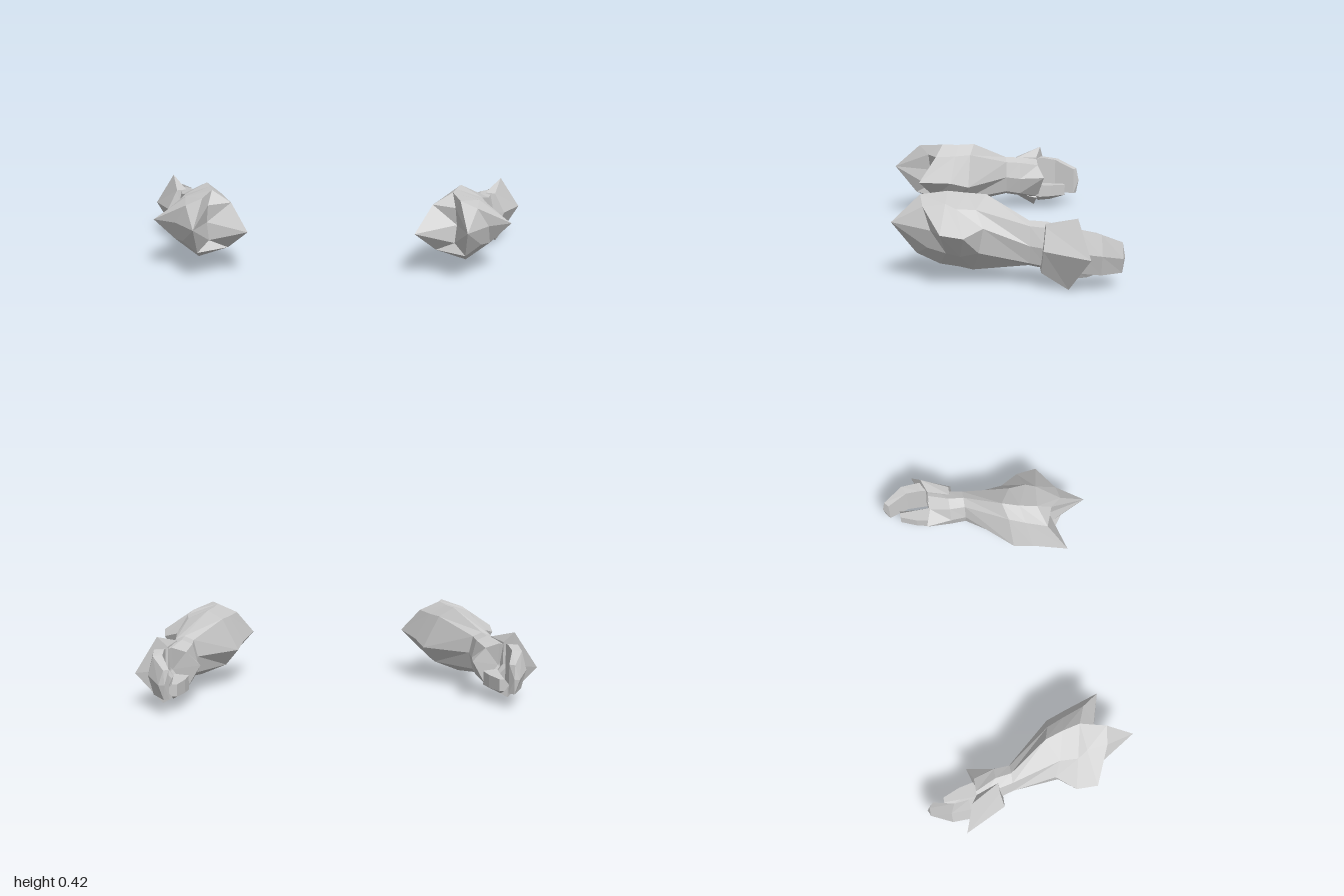
import * as THREE from 'three';

// Loft through rings of [x, y, z] points, ordered inner, top, outer, bottom and
// running from front to back. Ends close onto the given tips or the ring centre.
function loft(name, rings, side, frontTip, backTip) {
  const pos = [];
  const tri = (a, b, c) => {
    for (const p of side > 0 ? [a, b, c] : [a, c, b]) pos.push(p[0] * side, p[1], p[2]);
  };
  const centre = (r) => [0, 1, 2].map((k) => r.reduce((s, p) => s + p[k], 0) / r.length);
  const n = rings[0].length;
  const first = rings[0], last = rings[rings.length - 1];
  const front = frontTip || centre(first), back = backTip || centre(last);
  for (let j = 0; j < n; j++) {
    const k = (j + 1) % n;
    tri(front, first[k], first[j]);
    tri(back, last[j], last[k]);
    for (let i = 0; i < rings.length - 1; i++) {
      const a = rings[i], b = rings[i + 1];
      tri(a[j], a[k], b[k]);
      tri(a[j], b[k], b[j]);
    }
  }
  const geo = new THREE.BufferGeometry();
  geo.setAttribute('position', new THREE.Float32BufferAttribute(pos, 3));
  geo.computeVertexNormals();
  const mat = new THREE.MeshStandardMaterial({ color: 0xcccccc, flatShading: true });
  const mesh = new THREE.Mesh(geo, mat);
  mesh.name = name;
  return mesh;
}

// Eight-sided ring fitted between x0..x1 and y0..y1 at one depth
function ring(x0, x1, y0, y1, z) {
  const x = (t) => x0 + (x1 - x0) * t, y = (t) => y0 + (y1 - y0) * t;
  return [[0, 0.5], [0.15, 0.9], [0.5, 1], [0.85, 0.92], [1, 0.5], [0.85, 0.1], [0.5, 0], [0.15, 0.1]]
    .map(([u, v]) => [x(u), y(v), z]);
}

// Five-sided finger ring with a ridge along its outer side; lift raises the inner lower edge
const finger = (x0, x1, y0, y1, z0, z1 = z0, lift = 0) => [
  [x0, y0 + lift, z0], [x0, y1, z0], [x1 - 0.025, y1, z1],
  [x1, (y0 + y1) / 2, z1], [x1 - 0.025, y0, z1],
];

function arm(name, side) {
  const g = new THREE.Group();
  g.name = name;

  // Elbow end with a central spike and two side flaps, narrowing to the wrist,
  // then the palm with a pointed inner edge and a slightly hollow back
  const heel = ring(0.72, 0.92, 0.055, 0.285, -0.285);
  heel[0] = [0.68, 0.2, -0.315];
  g.add(loft('forearmAndPalm', [
    [[0.62, 0.27, 0.34], [0.61, 0.36, 0.35], [0.63, 0.41, 0.4], [0.715, 0.37, 0.39],
      [0.775, 0.27, 0.355], [0.74, 0.18, 0.37], [0.66, 0.135, 0.42], [0.61, 0.18, 0.35]],
    [[0.41, 0.24, 0.405], [0.5, 0.365, 0.31], [0.6, 0.418, 0.27], [0.73, 0.385, 0.285],
      [0.89, 0.275, 0.315], [0.79, 0.165, 0.285], [0.67, 0.083, 0.31], [0.52, 0.135, 0.32]],
    [[0.465, 0.22, 0.23], [0.54, 0.36, 0.2], [0.62, 0.412, 0.18], [0.76, 0.365, 0.235],
      [0.885, 0.255, 0.21], [0.8, 0.15, 0.22], [0.68, 0.07, 0.22], [0.54, 0.12, 0.22]],
    [[0.495, 0.19, 0.13], [0.575, 0.36, 0.115], [0.65, 0.41, 0.09], [0.755, 0.36, 0.145],
      [0.815, 0.285, 0.115], [0.8, 0.165, 0.135], [0.69, 0.057, 0.157], [0.56, 0.11, 0.14]],
    ring(0.70, 0.83, 0.095, 0.31, -0.1),
    ring(0.70, 0.85, 0.08, 0.305, -0.18),
    heel,
  ], side, [0.66, 0.285, 0.538], [0.82, 0.17, -0.26]));

  // Flared guard on the back of the hand, reaching under the palm
  g.add(loft('handGuard', [
    [[0.79, 0.19, -0.155], [0.8, 0.3, -0.17], [0.85, 0.295, -0.17],
      [0.9, 0.195, -0.155], [0.85, 0.08, -0.15], [0.79, 0.09, -0.15]],
    [[0.84, 0.18, -0.29], [0.84, 0.29, -0.285], [0.89, 0.345, -0.312],
      [0.997, 0.175, -0.36], [0.87, 0.003, -0.275], [0.76, 0.065, -0.28]],
  ], side));

  // Joined fingers, curling inwards
  g.add(loft('fingers', [
    finger(0.85, 0.92, 0.1, 0.28, -0.27),
    finger(0.855, 0.93, 0.09, 0.285, -0.325),
    finger(0.86, 0.93, 0.08, 0.27, -0.4, -0.42),
    finger(0.825, 0.875, 0.075, 0.22, -0.505, -0.525),
  ], side, null, [0.845, 0.15, -0.538]));

  // Thumb, low beside the palm
  g.add(loft('thumb', [
    finger(0.75, 0.84, 0.07, 0.15, -0.25, -0.25, 0.02),
    finger(0.74, 0.84, 0.04, 0.145, -0.295, -0.295, 0.035),
    finger(0.755, 0.84, 0.045, 0.14, -0.365, -0.365, 0.03),
    finger(0.79, 0.84, 0.075, 0.135, -0.45),
  ], side));
  return g;
}

export function createModel() {
  const model = new THREE.Group();
  model.name = 'pairOfForearms';
  model.add(arm('leftArm', 1), arm('rightArm', -1));
  return model;
}
